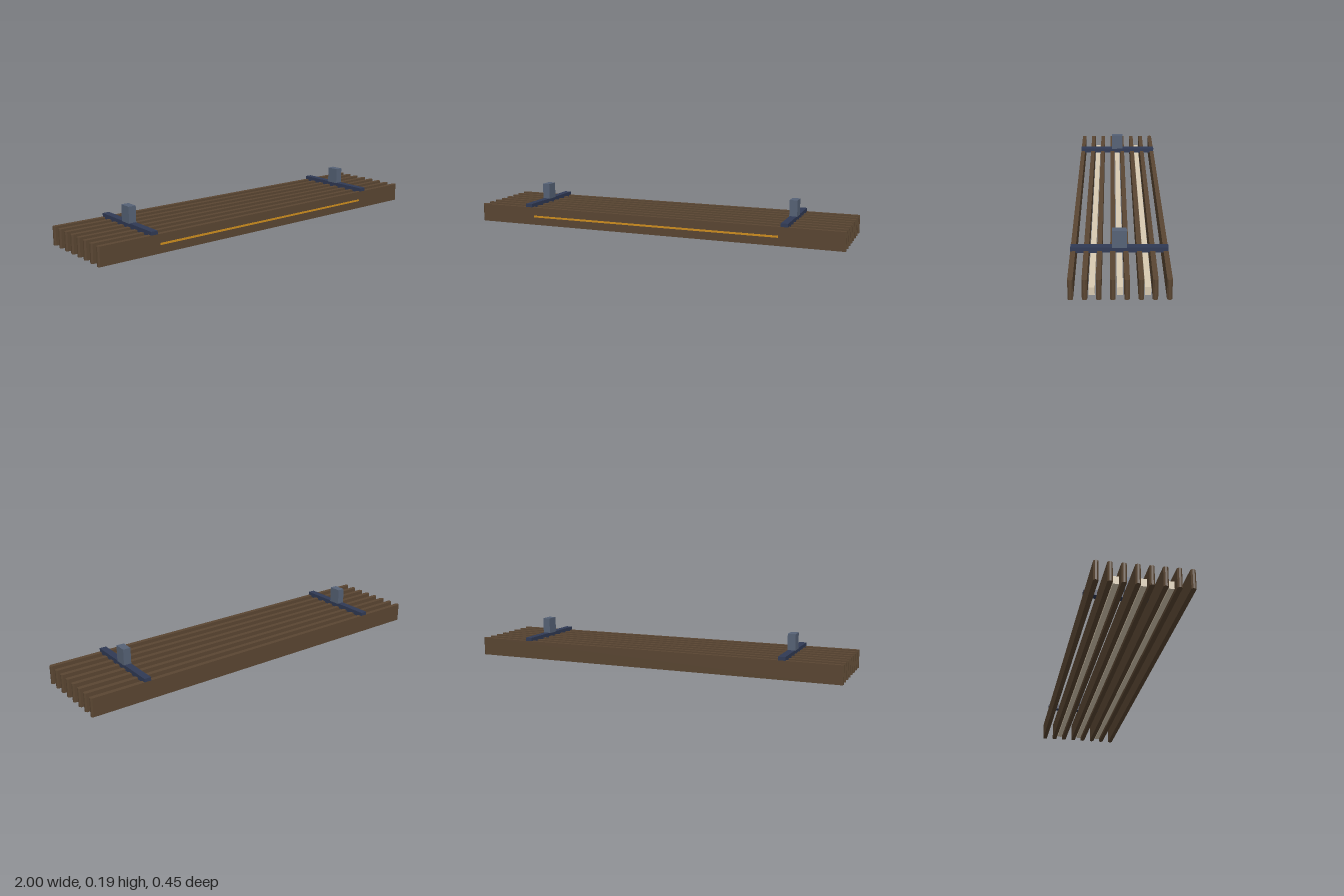
import * as THREE from 'three';

const material = (name, color, extra = {}) =>
  Object.assign(new THREE.MeshStandardMaterial({ color }), { name }, extra);

export function createModel() {
  const wood = material('brown wood', 0x5a4632);
  const navy = material('navy metal', 0x303a55);
  const slate = material('slate metal', 0x566276);
  const cream = material('cream diffuser', 0xd9cbb2);
  const amber = material('amber inlay', 0xd08f1e);

  const model = new THREE.Group();
  model.name = 'slattedPanel';

  const add = (name, geometry, mat, x, y, z) => {
    const mesh = new THREE.Mesh(geometry, mat);
    mesh.name = name;
    mesh.position.set(x, y, z);
    model.add(mesh);
    return mesh;
  };

  // Slat: plan outline with chamfered ends, extruded upward
  const L = 1, W = 0.0115, C = 0.007;
  const plan = new THREE.Shape([
    [-L + C, -W], [L - C, -W], [L, -W + C], [L, W - C],
    [L - C, W], [-L + C, W], [-L, W - C], [-L, -W + C],
  ].map(([x, y]) => new THREE.Vector2(x, y)));
  const slat = new THREE.ExtrudeGeometry(plan, { depth: 0.095, bevelEnabled: false });
  slat.rotateX(-Math.PI / 2);

  // Eight evenly spaced slats
  for (let i = 0; i < 8; i++) add('slat', slat, wood, 0, 0, (i - 3.5) * 0.0602);

  // Light strips between slats
  const strip = new THREE.BoxGeometry(1.935, 0.037, 0.026);
  for (const z of [-0.1204, 0, 0.1204]) add('lightStrip', strip, cream, 0, 0.025, z);

  // Crossbars and the posts standing on them
  const bar = new THREE.BoxGeometry(0.036, 0.026, 0.444);
  const post = new THREE.BoxGeometry(0.04, 0.084, 0.066);
  for (const x of [-0.705, 0.705]) {
    add('crossbar', bar, navy, x, 0.1, 0);
    add('mountingPost', post, slate, x, 0.153, 0);
  }

  // Inlay line on the front face
  add('frontInlay', new THREE.BoxGeometry(1.35, 0.01, 0.003), amber, 0, 0.046, 0.2225);

  return model;
}
